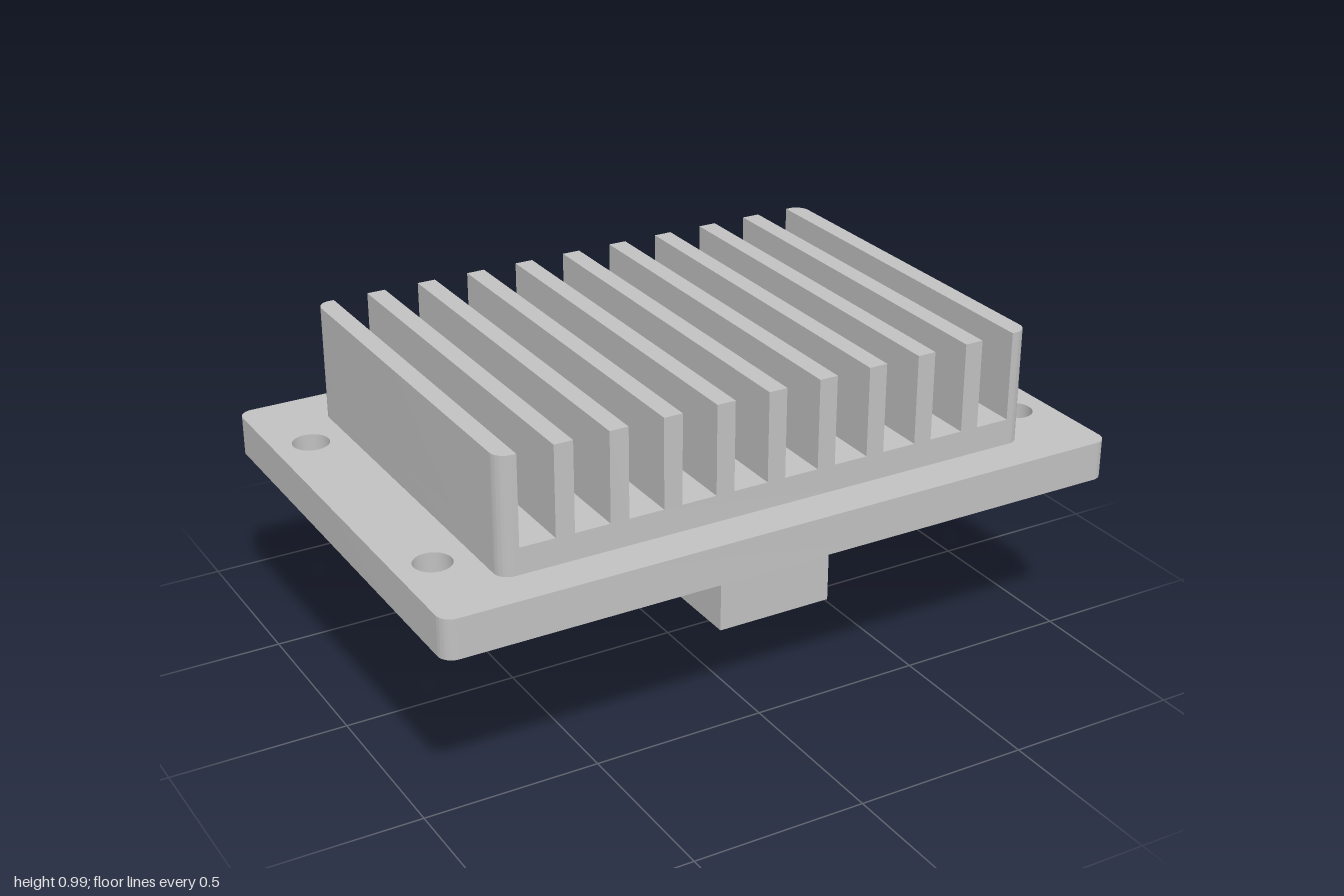
import * as THREE from 'three';
import { toCreasedNormals } from 'three/addons/utils/BufferGeometryUtils.js';

// Rectangle outline with separate corner radii on its left and right sides
function outline(x0, x1, halfDepth, rLeft, rRight) {
  const s = new THREE.Shape();
  const d = halfDepth;
  const corner = (cx, cy, r, start) => {
    if (r > 0) s.absarc(cx, cy, r, start, start + Math.PI / 2, false);
    else s.lineTo(cx, cy);
  };
  s.moveTo(x0 + rLeft, -d);
  corner(x1 - rRight, -d + rRight, rRight, -Math.PI / 2);
  corner(x1 - rRight, d - rRight, rRight, 0);
  corner(x0 + rLeft, d - rLeft, rLeft, Math.PI / 2);
  corner(x0 + rLeft, -d + rLeft, rLeft, Math.PI);
  return s;
}

// Upright slab between two heights, smooth around its rounded corners
function slab(shape, y0, y1) {
  const g = new THREE.ExtrudeGeometry(shape, { depth: y1 - y0, bevelEnabled: false, curveSegments: 12 });
  g.rotateX(-Math.PI / 2);
  g.translate(0, y0, 0);
  return toCreasedNormals(g, 0.6);
}

export function createModel() {
  const model = new THREE.Group();
  model.name = 'heatSink';
  const metal = new THREE.MeshStandardMaterial({ color: 0xc0c0c0 });
  metal.name = 'grey metal';

  const add = (name, geometry) => {
    const mesh = new THREE.Mesh(geometry, metal);
    mesh.name = name;
    model.add(mesh);
    return mesh;
  };

  // Mounting plate with four screw holes
  const plate = outline(-1, 1, 0.677, 0.04, 0.04);
  for (const x of [-0.895, 0.895]) {
    for (const z of [-0.395, 0.395]) {
      const hole = new THREE.Path();
      hole.absarc(x, z, 0.052, 0, Math.PI * 2, true);
      plate.holes.push(hole);
    }
  }
  add('mountingPlate', slab(plate, 0.548, 0.66));

  // Raised base beneath the fins
  const halfW = 0.79, halfD = 0.56, radius = 0.04;
  add('finBase', slab(outline(-halfW, halfW, halfD, radius, radius), 0.66, 0.735));

  // Eleven fins, the outermost two rounded on their outer corners
  const count = 11, finW = 0.053;
  const pitch = (2 * halfW - finW) / (count - 1);
  for (let i = 0; i < count; i++) {
    const x0 = -halfW + i * pitch;
    const rLeft = i === 0 ? radius : 0;
    const rRight = i === count - 1 ? radius : 0;
    add('fin' + (i + 1), slab(outline(x0, x0 + finW, halfD, rLeft, rRight), 0.735, 0.988));
  }

  // Off-centre contact block under the plate
  const block = add('contactBlock', new THREE.BoxGeometry(0.37, 0.548, 0.372));
  block.position.set(0.324, 0.274, -0.12);

  return model;
}
